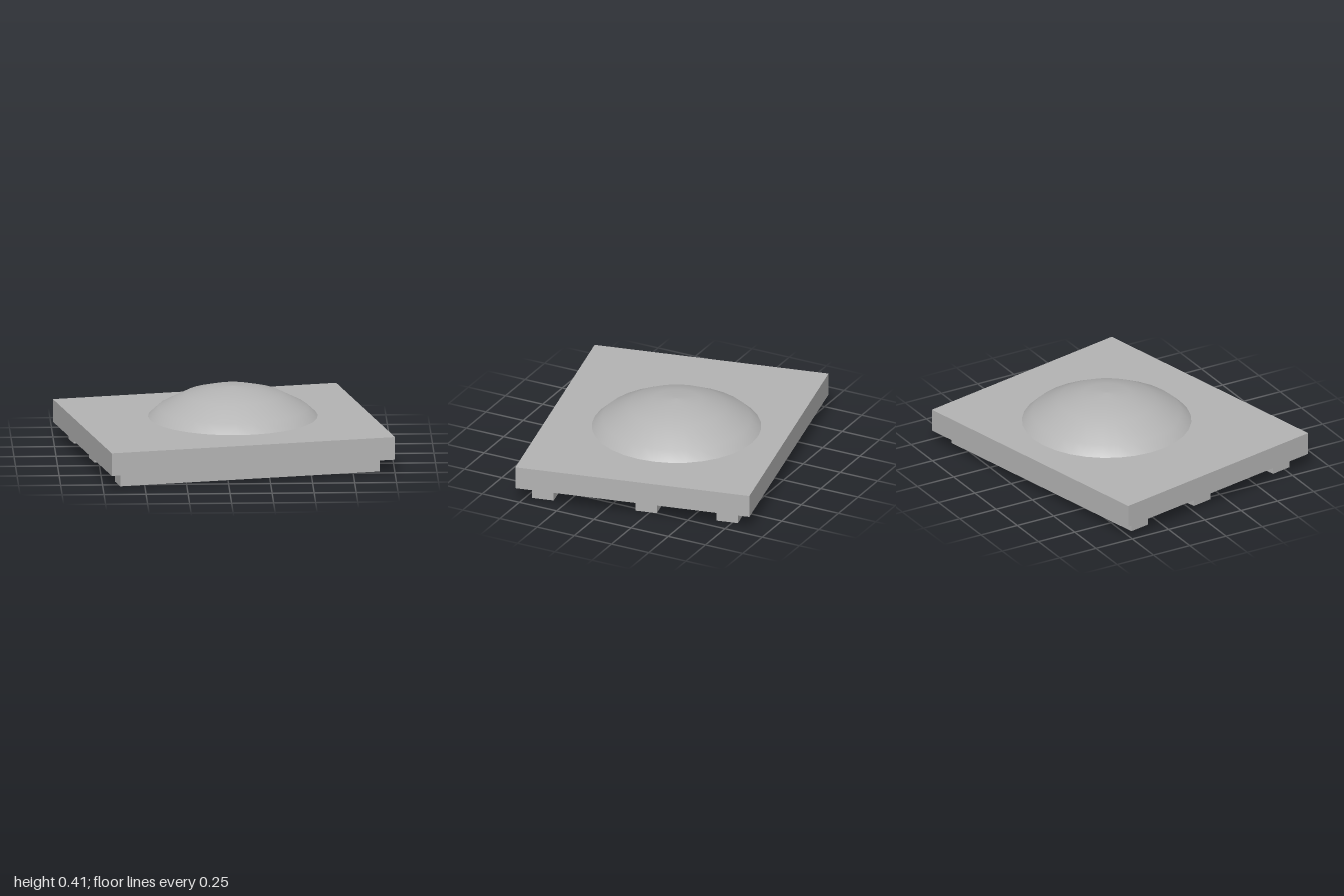
import * as THREE from 'three';

export function createModel() {
  const model = new THREE.Group();
  const grey = new THREE.MeshStandardMaterial({ color: 0xb4b4b4 });
  grey.name = 'grey';

  const add = (name, geometry, x, y, z) => {
    const mesh = new THREE.Mesh(geometry, grey);
    mesh.name = name;
    mesh.position.set(x, y, z);
    model.add(mesh);
  };

  // Flat slab
  add('slab', new THREE.BoxGeometry(1.737, 0.138, 1.446), 0, 0.156, 0);

  // Three support rails under the slab
  for (const z of [0.573, -0.064, -0.565]) {
    add('rail', new THREE.BoxGeometry(1.592, 0.087, 0.133), 0, 0.0435, z);
  }

  // Shallow dome, its rim set on the slab top
  const profile = [[0.505, 0], [0.445, 0.055], [0.29, 0.135], [0.145, 0.174], [0, 0.184]]
    .map(([r, y]) => new THREE.Vector2(r, y));
  add('dome', new THREE.LatheGeometry(profile, 32), 0.066, 0.225, -0.047);

  // The whole piece sits turned about its vertical axis
  model.rotation.y = 0.2087;
  const root = new THREE.Group();
  root.name = 'domedSlab';
  model.name = 'turnedBody';
  root.add(model);
  return root;
}
